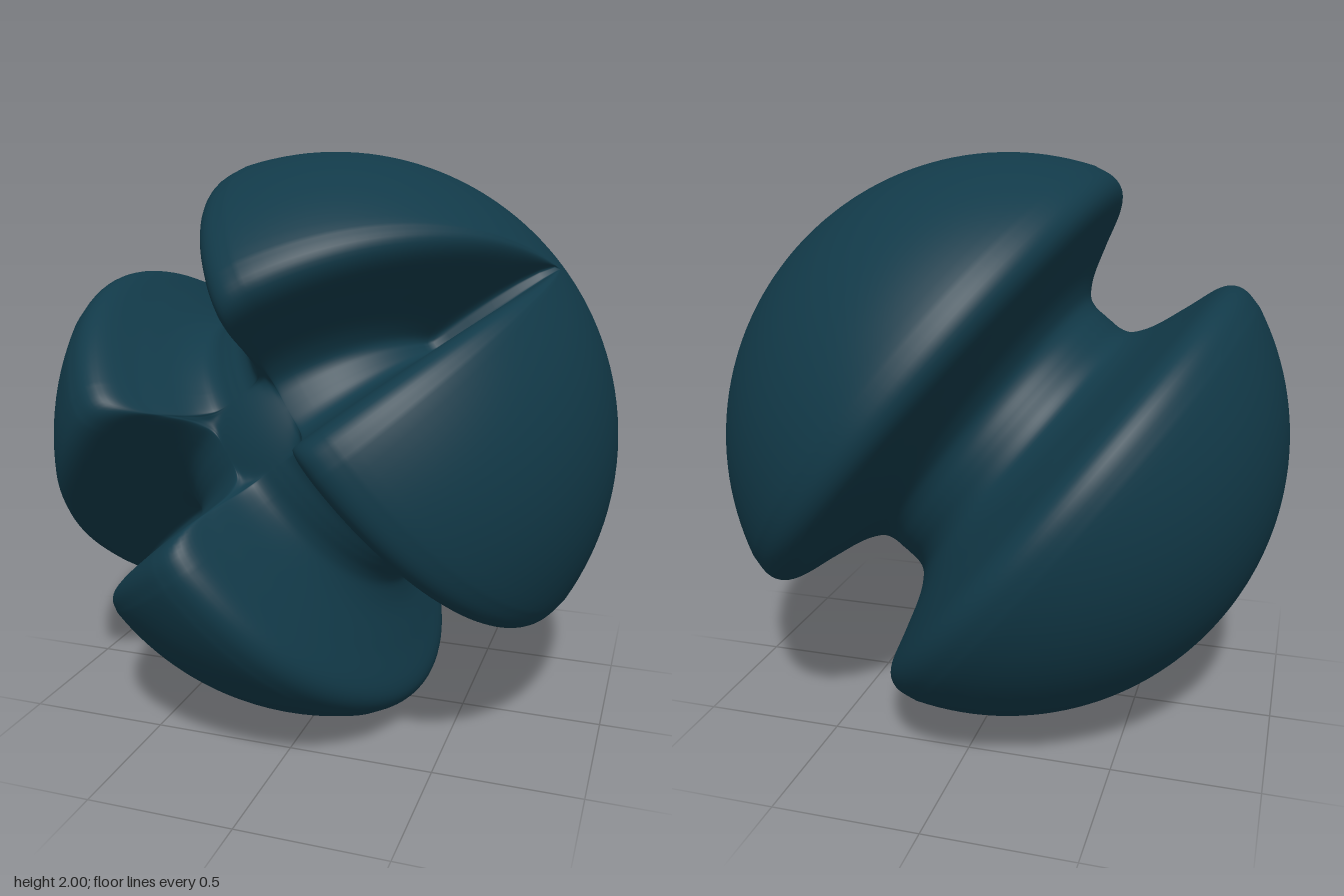
import * as THREE from 'three';
import { mergeVertices } from 'three/addons/utils/BufferGeometryUtils.js';

const CORE = 0.555; // radius of the groove floor
const RAD = Math.PI / 180;

// Half of the groove section: degrees from the groove's middle, radius there
const SECTION = [[0, CORE], [6, 0.56], [9.5, 0.58], [11.5, 0.62], [12.7, 0.67], [13.7, 0.79],
  [14.4, 0.92], [15.5, 0.96], [17.5, 0.985], [22, 1]];

// Samples {angle, fill} from -end to +end, dense on the groove walls; fill is 0 on the floor, 1 outside
function grooveSamples(end, plainSteps) {
  const curve = new THREE.CatmullRomCurve3(SECTION.map(([a, r]) => new THREE.Vector3(a * RAD, r, 0)));
  const half = curve.getSpacedPoints(40).map((p) => ({ angle: p.x, fill: Math.min(1, Math.max(0, (p.y - CORE) / (1 - CORE))) }));
  const start = 22 * RAD;
  for (let i = 1; i <= plainSteps; i++) {
    half.push({ angle: start + ((end - start) * i) / plainSteps, fill: 1 });
  }
  const mirrored = half.slice(1).reverse().map((s) => ({ angle: -s.angle, fill: s.fill }));
  return [...mirrored, ...half];
}

function groovedSphereGeometry() {
  // The main groove circles the slanted axis; the cross groove is a wedge running pole to pole
  const axis = new THREE.Vector3(0.78, 0.62, 0).normalize();
  const up = new THREE.Vector3(-axis.y, axis.x, 0);
  const front = new THREE.Vector3(0, 0, 1);
  const tilt = 17 * RAD;
  const rows = grooveSamples(Math.PI / 2, 30);
  const cols = grooveSamples(Math.PI, 56).slice(1); // closed ring
  const n = cols.length;
  const positions = [];
  const index = [];

  rows.forEach((row, i) => {
    const ring = Math.cos(row.angle);
    // The cross groove runs out at the poles
    const depth = THREE.MathUtils.smoothstep(ring, 0.02, 0.3);
    cols.forEach((col, j) => {
      const az = col.angle + tilt;
      const crossFill = 1 - (1 - col.fill) * depth;
      const radius = CORE + (1 - CORE) * row.fill * crossFill;
      const p = new THREE.Vector3()
        .addScaledVector(axis, Math.sin(row.angle))
        .addScaledVector(front, ring * Math.cos(az))
        .addScaledVector(up, ring * Math.sin(az))
        .multiplyScalar(radius);
      positions.push(p.x, p.y, p.z);
      if (i < rows.length - 1) {
        const a = i * n + j, c = i * n + ((j + 1) % n);
        index.push(a, a + n, c, c, a + n, c + n);
      }
    });
  });

  const geometry = new THREE.BufferGeometry();
  geometry.setAttribute('position', new THREE.Float32BufferAttribute(positions, 3));
  geometry.setIndex(index);
  const merged = mergeVertices(geometry, 1e-5); // joins the pole points
  merged.computeVertexNormals();
  return merged;
}

export function createModel() {
  const group = new THREE.Group();
  group.name = 'groovedBall';
  const material = new THREE.MeshStandardMaterial({ color: 0x123a49 });
  const ball = new THREE.Mesh(groovedSphereGeometry(), material);
  ball.name = 'groovedSphere';
  ball.position.y = 1;
  group.add(ball);
  return group;
}
